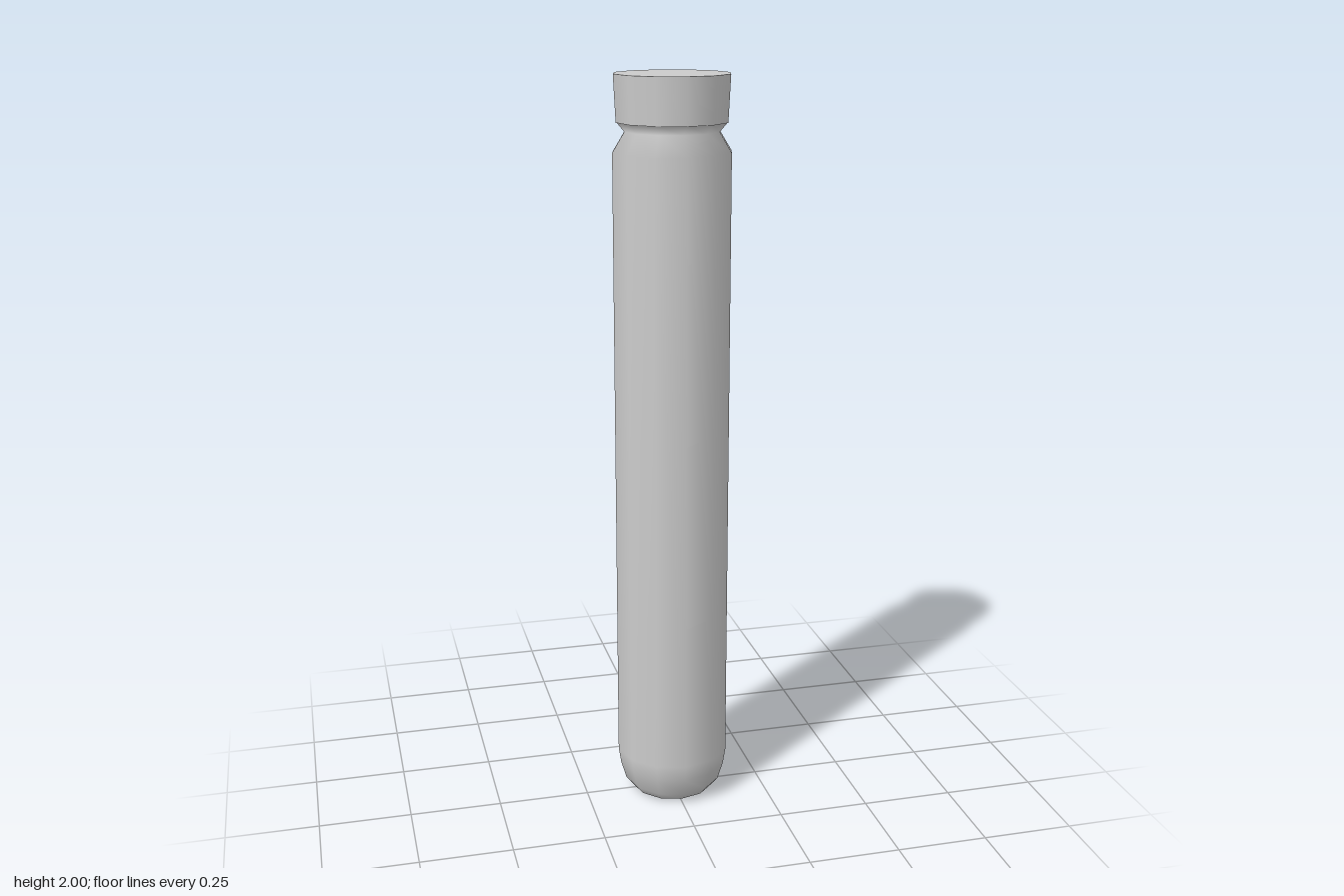
import * as THREE from 'three';

const SIDES = 12;

export function createModel() {
  const group = new THREE.Group();
  const material = new THREE.MeshStandardMaterial({ color: 0xcccccc });

  // Tube: rounded foot, straight wall, shoulder, pinched neck and flared lip
  const profile = [
    [0, 0], [0.1, 0.003], [0.115, 0.01], [0.135, 0.035], [0.15, 0.085], [0.157, 0.13],
    [0.157, 1.805], [0.125, 1.857], [0.146, 1.882],
  ].map(([r, y]) => new THREE.Vector2(r, y));
  const tube = new THREE.Mesh(new THREE.LatheGeometry(profile, SIDES), material);
  tube.name = 'tube';

  // Slightly tapered stopper closing the lip
  const stopperHeight = 0.12;
  const stopper = new THREE.Mesh(
    new THREE.CylinderGeometry(0.153, 0.147, stopperHeight, SIDES), material);
  stopper.position.y = 2 - stopperHeight / 2;
  stopper.name = 'stopper';

  group.add(tube, stopper);
  return group;
}
